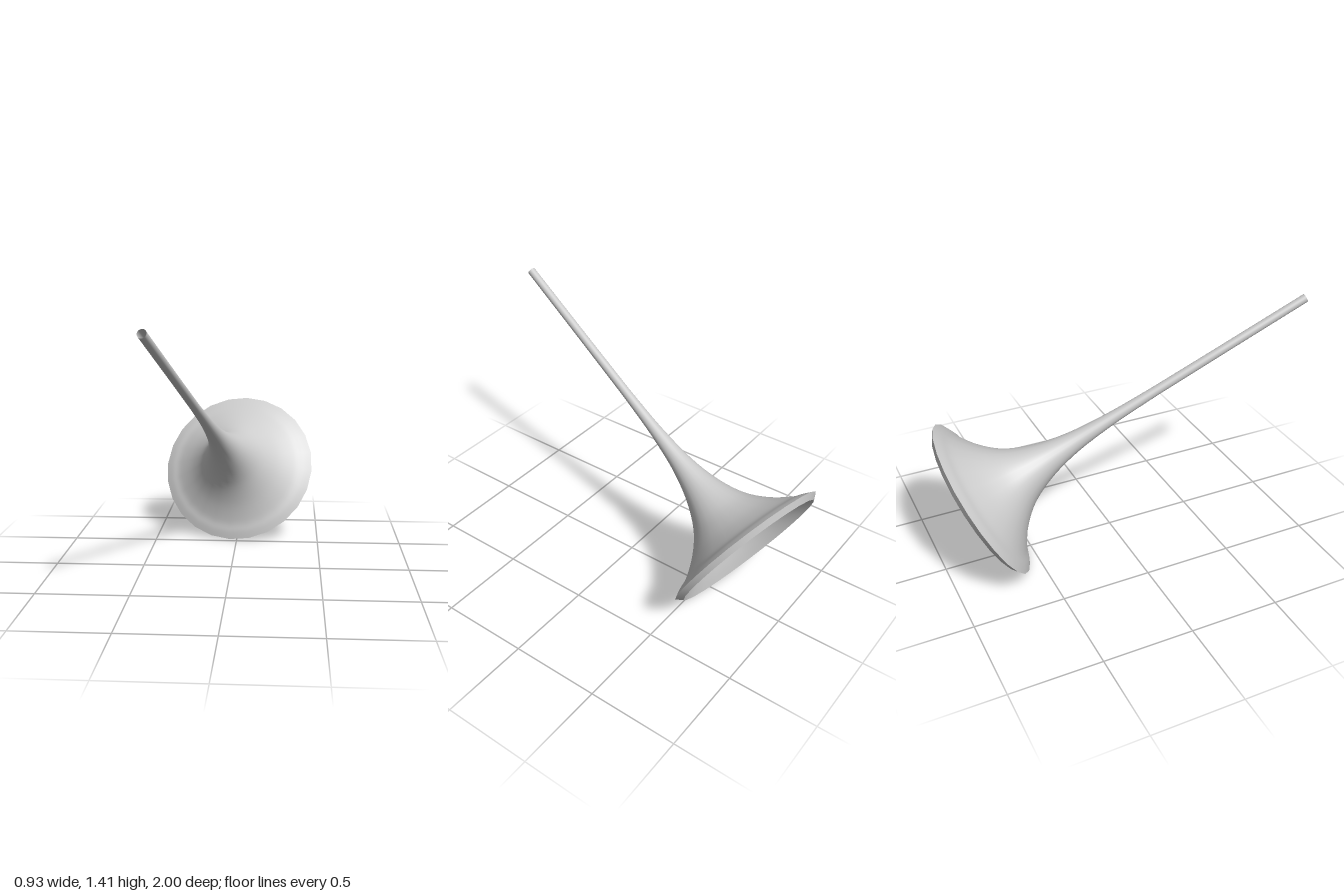
import * as THREE from 'three';

export function createModel() {
  const model = new THREE.Group();
  const material = new THREE.MeshStandardMaterial({ color: 0xcccccc, side: THREE.DoubleSide });

  // The horn is turned around its own y axis, with the mouth at the bottom
  const horn = new THREE.Group();
  horn.name = 'horn';
  const turned = (name, points) => {
    const mesh = new THREE.Mesh(new THREE.LatheGeometry(points, 24), material);
    mesh.name = name;
    horn.add(mesh);
  };
  const toPoints = (pairs) => pairs.map(([r, h]) => new THREE.Vector2(r, h));
  const smooth = (pairs) => new THREE.SplineCurve(toPoints(pairs)).getPoints(48);

  // Flared bell running smoothly into the neck
  turned('bell', smooth([
    [0.471, 0.008], [0.43, 0.029], [0.37, 0.055], [0.279, 0.12], [0.201, 0.2], [0.15, 0.28],
    [0.108, 0.38], [0.079, 0.48], [0.056, 0.6], [0.042, 0.73], [0.032, 0.88], [0.026, 1.1],
  ]));

  // Long, slightly tapering open pipe
  turned('pipe', toPoints([[0.026, 1.1], [0.024, 1.5], [0.023, 2.035]]));

  // Bevelled rim around the mouth
  turned('rim', toPoints([[0.435, -0.02], [0.471, 0.008]]));

  // Inner wall, thinning out towards the throat
  turned('innerWall', smooth([
    [0.435, -0.02], [0.36, 0.03], [0.274, 0.098], [0.195, 0.185], [0.145, 0.27], [0.104, 0.375],
    [0.076, 0.475], [0.054, 0.6], [0.04, 0.73], [0.031, 0.88], [0.025, 1.1],
  ]));

  // Tilt the mouth down and back, the pipe up and forward
  horn.rotation.order = 'YXZ';
  horn.rotation.set(1.066, -0.189, 0);
  horn.position.set(0, 0.415, -0.765);
  model.add(horn);
  return model;
}
